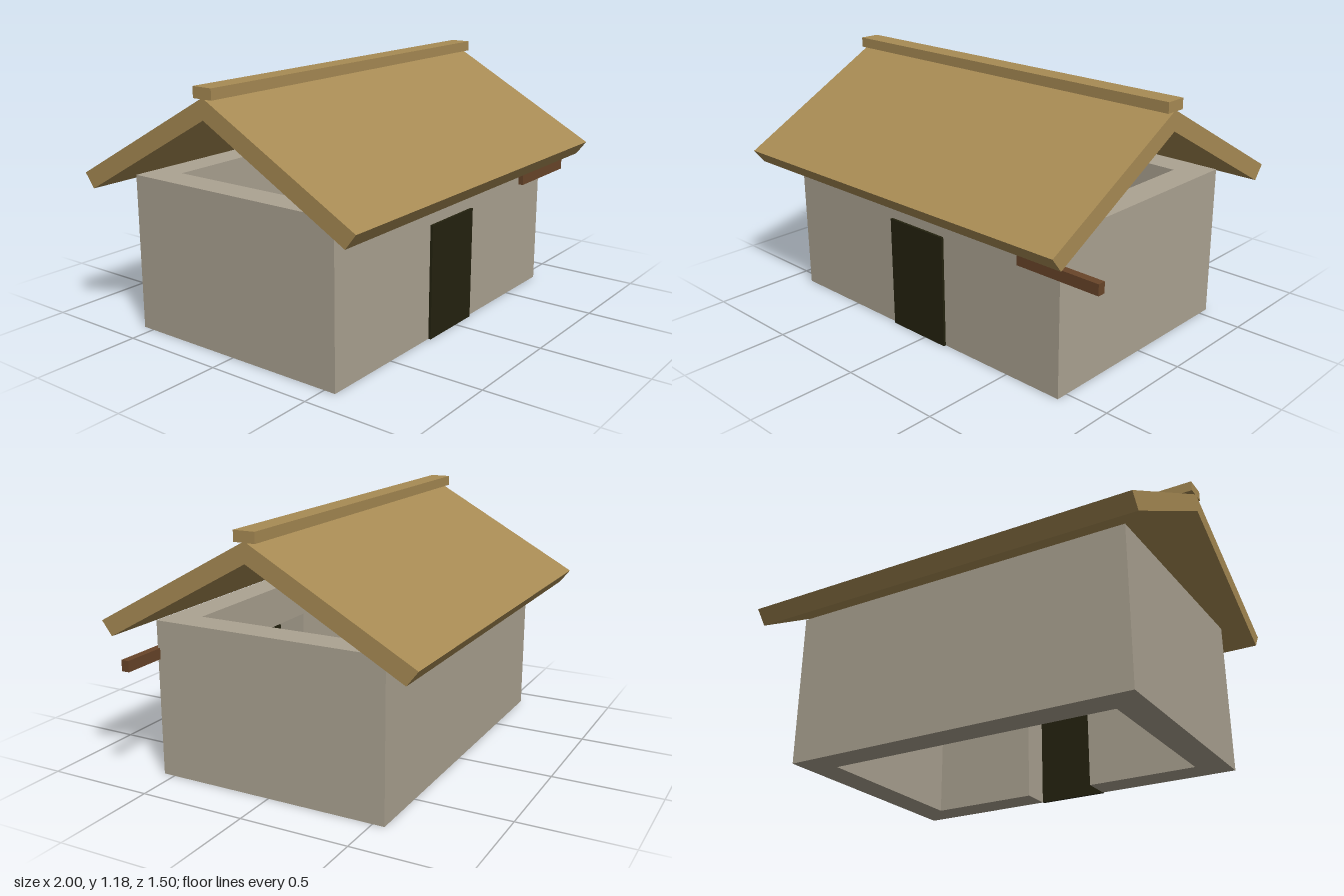
import * as THREE from 'three';

const material = (name, color) => {
  const m = new THREE.MeshStandardMaterial({ color });
  m.name = name;
  return m;
};

export function createModel() {
  const group = new THREE.Group();
  const plaster = material('plaster', 0xaca392);
  const thatch = material('thatch', 0xa88b54);
  const wood = material('wood', 0x694529);
  const dark = material('dark', 0x24220f);

  const add = (name, geometry, mat) => {
    const mesh = new THREE.Mesh(geometry, mat);
    mesh.name = name;
    group.add(mesh);
    return mesh;
  };

  // Box given by its lower and upper limits on each axis
  const box = (name, mat, [x0, x1], [y0, y1], [z0, z1]) =>
    add(name, new THREE.BoxGeometry(x1 - x0, y1 - y0, z1 - z0), mat)
      .position.set((x0 + x1) / 2, (y0 + y1) / 2, (z0 + z1) / 2);

  const polygon = (points) => new THREE.Shape(points.map(([x, y]) => new THREE.Vector2(x, y)));

  // Walls: open at top and bottom
  const left = 0.79, right = -0.88, half = 0.555, height = 0.72, thick = 0.14;
  const inner = half - thick;
  const doorLeft = 0.125, doorRight = -0.21, doorTop = 0.53;

  // Front wall with the doorway cut out
  const front = new THREE.ExtrudeGeometry(polygon([
    [right, 0], [doorRight, 0], [doorRight, doorTop], [doorLeft, doorTop],
    [doorLeft, 0], [left, 0], [left, height], [right, height],
  ]), { depth: thick, bevelEnabled: false });
  front.translate(0, 0, inner);
  add('frontWall', front, plaster);
  box('backWall', plaster, [right, left], [0, height], [-half, -inner]);
  box('leftWall', plaster, [left - thick, left], [0, height], [-inner, inner]);
  box('rightWall', plaster, [right, right + thick], [0, height], [-inner, inner]);

  // Door panel over the doorway
  box('door', dark, [doorRight, doorLeft], [0, doorTop], [half, half + 0.012]);

  // Gabled roof: chevron profile swept along x
  const roof = new THREE.ExtrudeGeometry(polygon([
    [-0.75, 0.725], [-0.7, 0.66], [0, 1.048], [0.7, 0.66], [0.75, 0.725], [0, 1.138],
  ]), { depth: 1.915, bevelEnabled: false });
  roof.rotateY(Math.PI / 2);
  roof.translate(-1, 0, 0);
  add('roof', roof, thatch);
  box('ridgeCap', thatch, [-1, 0.915], [1.132, 1.18], [-0.05, 0.05]);

  // Beam sticking out past the front corner
  box('beam', wood, [0.58, 1], [0.545, 0.595], [0.543, 0.58]);

  return group;
}
